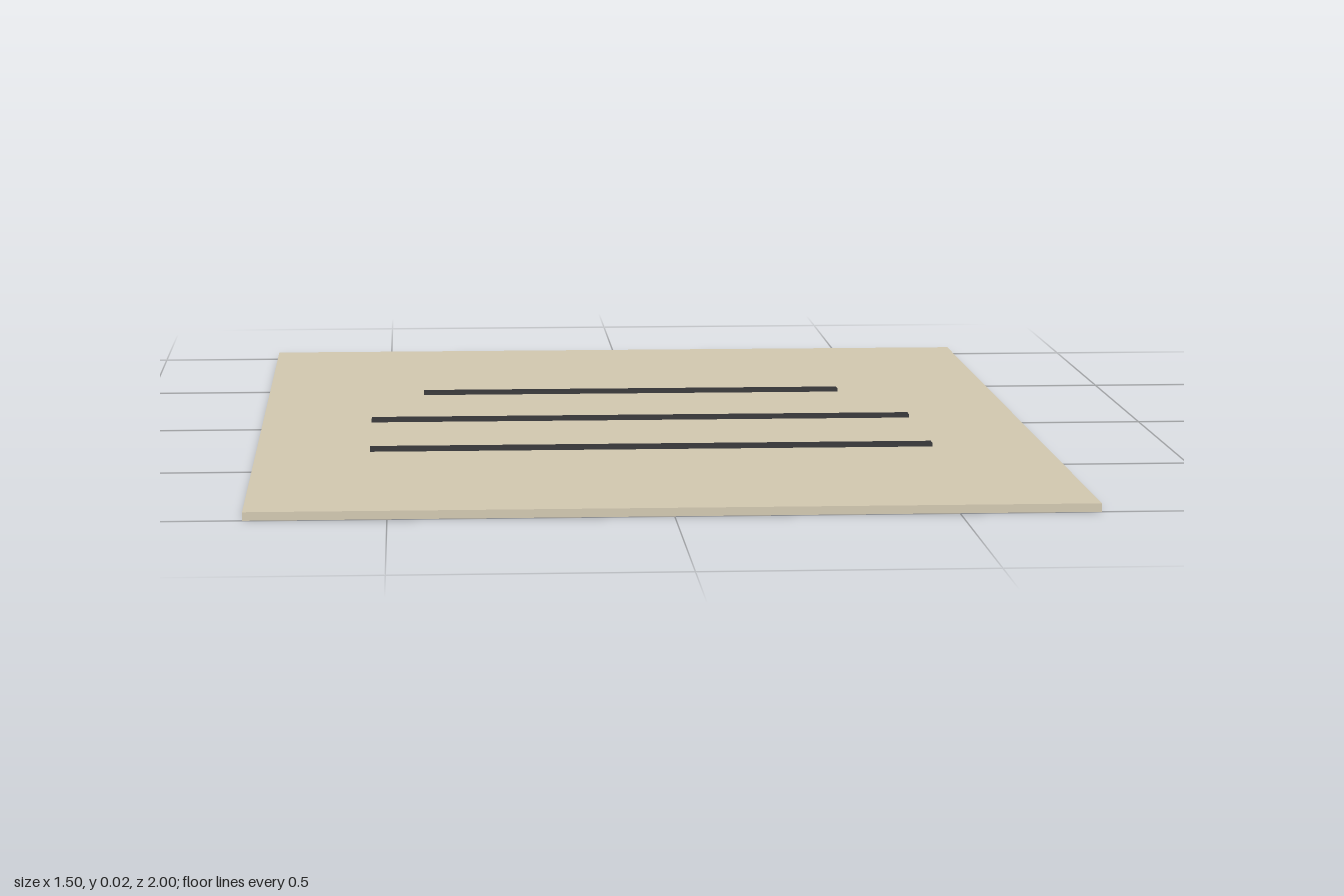
import * as THREE from 'three';

export function createModel() {
  const model = new THREE.Group();
  const paper = new THREE.MeshStandardMaterial({ color: 0xd2c8b0 });
  const ink = new THREE.MeshStandardMaterial({ color: 0x333335 });

  // Box resting with its underside at the given height
  function slab(name, width, height, depth, bottom, z, material) {
    const mesh = new THREE.Mesh(new THREE.BoxGeometry(width, height, depth), material);
    mesh.name = name;
    mesh.position.set(0, bottom + height / 2, z);
    model.add(mesh);
  }

  // Thin sheet
  slab('sheet', 1.5, 0.015, 2, 0, 0, paper);

  // Three raised ruled lines, the rear one shorter; their feet sit inside the sheet
  const lines = [
    ['rearLine', 0.86, -0.357],
    ['middleLine', 1.07, 0],
    ['frontLine', 1.07, 0.357],
  ];
  for (const [name, width, z] of lines) slab(name, width, 0.021, 0.028, 0.0005, z, ink);

  return model;
}
